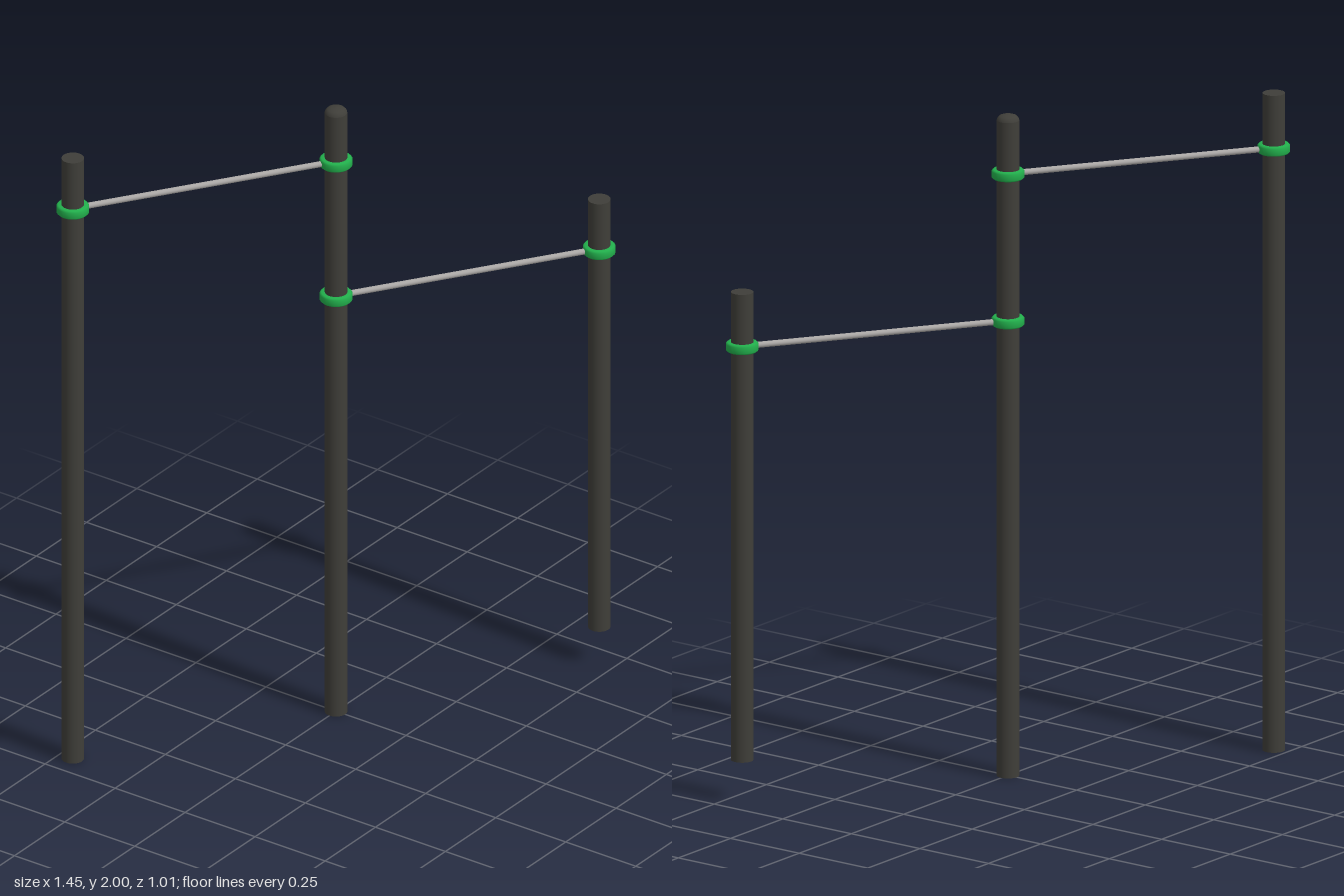
import * as THREE from 'three';

export function createModel() {
  const mat = (name, color) => {
    const m = new THREE.MeshStandardMaterial({ color });
    m.name = name;
    return m;
  };
  const postMat = mat('dark post', 0x3f3e39);
  const clampMat = mat('green clamp', 0x22b04c);
  const barMat = mat('steel bar', 0xaaa7a5);

  const model = new THREE.Group();
  model.name = 'pullUpBars';
  const add = (name, geometry, material, x, y, z) => {
    const mesh = new THREE.Mesh(geometry, material);
    mesh.name = name;
    mesh.position.set(x, y, z);
    model.add(mesh);
    return mesh;
  };

  const X = 0.675, Z = 0.455, R = 0.033;

  // Upright posts: flat-topped outer pair
  const post = (name, x, z, y0, y1) =>
    add(name, new THREE.CylinderGeometry(R, R, y1 - y0, 24), postMat, x, (y0 + y1) / 2, z);
  post('tallPost', -X, -Z, 0, 1.987);
  post('middlePost', 0, 0, 0, 1.982);
  post('shortPost', X, Z, 0.125, 1.54);

  // Shallow domed cap on the middle post
  const cap = [[R, 0], [0.031, 0.007], [0.025, 0.013], [0.014, 0.017], [0, 0.018]]
    .map(([r, y]) => new THREE.Vector2(r, y));
  add('middlePostCap', new THREE.LatheGeometry(cap, 24), postMat, 0, 1.982, 0);

  // Clamp ring with bevelled rims, closed against the post
  const ring = [[0.032, -0.014], [0.043, -0.014], [0.048, -0.009], [0.048, 0.009], [0.043, 0.014], [0.032, 0.014]]
    .map(([r, y]) => new THREE.Vector2(r, y));
  const ringGeo = new THREE.LatheGeometry(ring, 24);

  // Each horizontal bar runs between two clamps
  const barGeo = new THREE.CylinderGeometry(0.009, 0.009, Math.hypot(X, Z), 16);
  barGeo.rotateZ(Math.PI / 2);
  for (const [name, side, y] of [['high', -1, 1.82], ['low', 1, 1.375]]) {
    add(name + 'Bar', barGeo, barMat, side * X / 2, y, side * Z / 2).rotation.y = -Math.atan2(Z, X);
    add(name + 'OuterClamp', ringGeo, clampMat, side * X, y, side * Z);
    add(name + 'MiddleClamp', ringGeo, clampMat, 0, y, 0);
  }
  return model;
}
